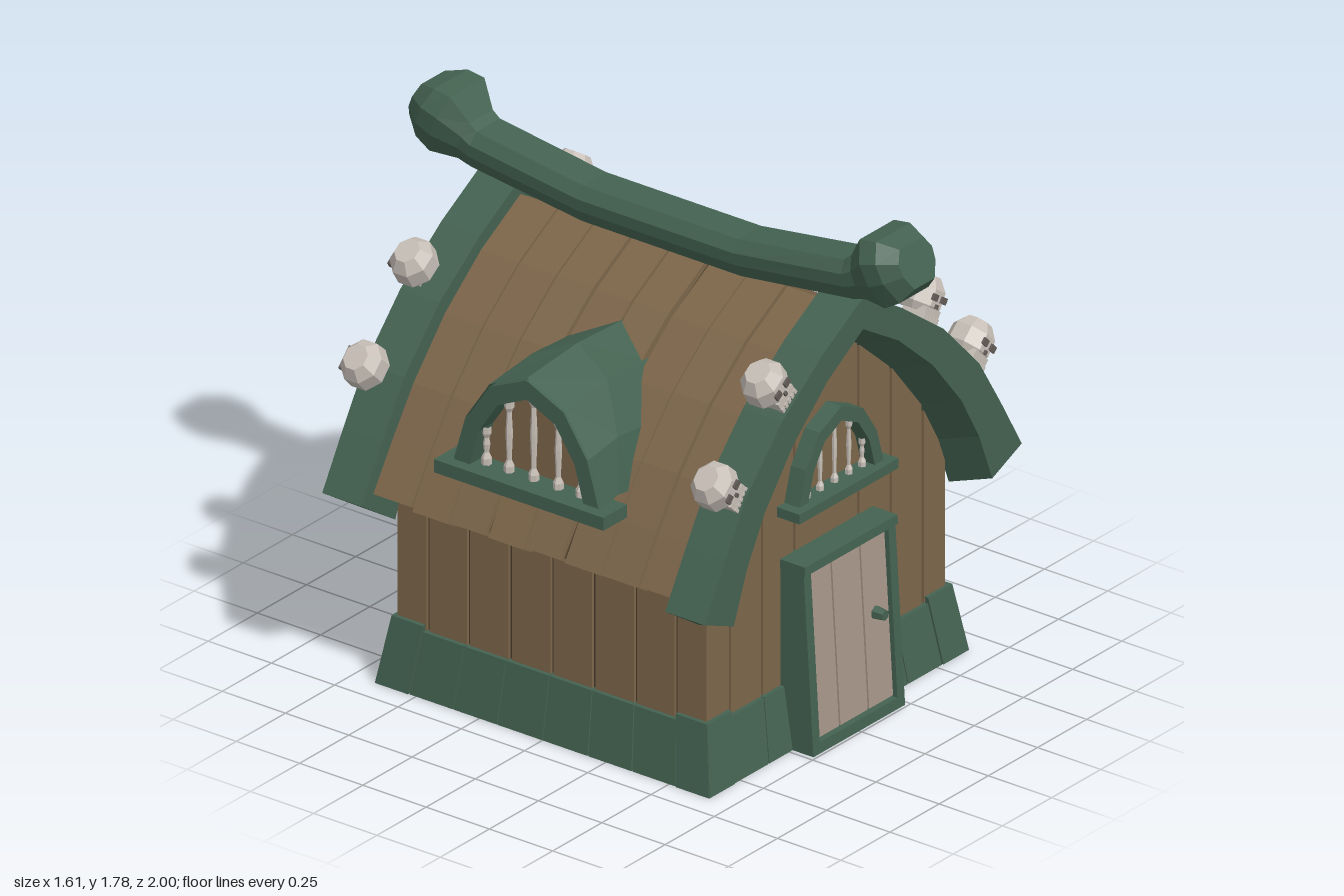
import * as THREE from 'three';

const mat = (name, color, side = THREE.FrontSide) => {
  const m = new THREE.MeshStandardMaterial({ color, side });
  m.name = name;
  return m;
};

// Flat-faced solid through a list of closed rings of [x, y, z] points, capped at both ends
function loft(rings) {
  const pos = [], n = rings[0].length;
  const tri = (a, b, c) => pos.push(...a, ...b, ...c);
  for (let i = 0; i + 1 < rings.length; i++)
    for (let j = 0; j < n; j++) {
      const a = rings[i][j], b = rings[i][(j + 1) % n], c = rings[i + 1][(j + 1) % n], d = rings[i + 1][j];
      tri(a, b, c); tri(a, c, d);
    }
  const first = rings[0], last = rings[rings.length - 1];
  for (let j = 1; j + 1 < n; j++) {
    tri(first[0], first[j + 1], first[j]);
    tri(last[0], last[j], last[j + 1]);
  }
  // turn the faces outward when the signed volume is negative
  let volume = 0;
  const a = new THREE.Vector3(), b = new THREE.Vector3(), c = new THREE.Vector3();
  for (let i = 0; i < pos.length; i += 9)
    volume += a.fromArray(pos, i).dot(b.fromArray(pos, i + 3).cross(c.fromArray(pos, i + 6)));
  if (volume < 0)
    for (let i = 0; i < pos.length; i += 9)
      for (let k = 0; k < 3; k++) [pos[i + 3 + k], pos[i + 6 + k]] = [pos[i + 6 + k], pos[i + 3 + k]];
  const g = new THREE.BufferGeometry();
  g.setAttribute('position', new THREE.Float32BufferAttribute(pos, 3));
  g.computeVertexNormals();
  return g;
}

// Box given by its limits, with an optional rule that moves each corner
function block(x0, x1, y0, y1, z0, z1, rule) {
  const g = new THREE.BoxGeometry(x1 - x0, y1 - y0, z1 - z0).toNonIndexed();
  g.translate((x0 + x1) / 2, (y0 + y1) / 2, (z0 + z1) / 2);
  if (rule) {
    const p = g.attributes.position, v = new THREE.Vector3();
    for (let i = 0; i < p.count; i++) {
      rule(v.fromBufferAttribute(p, i));
      p.setXYZ(i, v.x, v.y, v.z);
    }
    g.computeVertexNormals();
  }
  return g;
}

// Half profile from the peak outward, made into a full arch
const arch = half => [...half.slice(1).reverse().map(([x, y]) => [-x, y]), ...half];

const ROOF_OUT = [[0, 1.465], [0.2, 1.35], [0.385, 1.2], [0.545, 1.02], [0.655, 0.86], [0.75, 0.705]];
const ROOF_IN = [[0, 1.395], [0.17, 1.295], [0.345, 1.155], [0.5, 0.98], [0.61, 0.82], [0.7, 0.675]];
const BOARD_OUT = [[0, 1.515], [0.2, 1.4], [0.41, 1.245], [0.59, 1.055], [0.7, 0.875], [0.807, 0.69]];
const BOARD_IN = [[0, 1.405], [0.18, 1.295], [0.355, 1.14], [0.5, 0.96], [0.59, 0.8], [0.657, 0.627]];

// Linear lookup along a profile: from column a to column b
function lookup(profile, v, a, b) {
  for (let i = 0; i + 1 < profile.length; i++) {
    const p = profile[i], q = profile[i + 1], t = (v - p[a]) / (q[a] - p[a]);
    if (t >= 0 && t <= 1) return p[b] + t * (q[b] - p[b]);
  }
  return profile[profile.length - 1][b];
}

export function createModel() {
  const wood = mat('wood', 0x7c664a), seam = mat('dark seam', 0x4b3c2b);
  const green = mat('painted green', 0x446251), greenOpen = mat('painted green thin', 0x446251, THREE.DoubleSide);
  const pale = mat('pale door wood', 0xa69689), bone = mat('bone', 0xc6beb6), socket = mat('socket grey', 0x625c57);
  const house = new THREE.Group();
  house.name = 'house';
  const add = (name, geometry, material, parent = house) => {
    const m = new THREE.Mesh(geometry, material);
    m.name = name;
    parent.add(m);
    return m;
  };
  let seed = 7;
  const jitter = s => ((seed = (seed * 16807) % 2147483647) / 2147483647 - 0.5) * 2 * s;

  // Gable walls: upright planks cut to the underside of the roof
  const edges = [-0.61, -0.49, -0.327, -0.163, 0.163, 0.327, 0.49, 0.61];
  for (const side of [1, -1])
    for (let i = 0; i + 1 < edges.length; i++) {
      const x0 = edges[i] + (i ? 0.006 : 0), x1 = edges[i + 1] - 0.006;
      const s = new THREE.Shape().moveTo(x0, 0.04).lineTo(x1, 0.04);
      for (let k = 0; k <= 6; k++) {
        const x = x1 + (x0 - x1) * k / 6;
        s.lineTo(x, lookup(ROOF_IN, Math.abs(x), 0, 1) + 0.01);
      }
      const g = new THREE.ExtrudeGeometry(s, { depth: 0.04, bevelEnabled: false });
      g.translate(0, 0, side > 0 ? 0.57 : -0.61);
      add('gablePlank', g, wood);
      const e = edges[i];
      if (i) add('gableSeam', block(e - 0.008, e + 0.008, 0.04, lookup(ROOF_IN, Math.abs(e), 0, 1),
        side * 0.59 - 0.01, side * 0.59 + 0.01), seam);
    }

  // Side walls
  const sideEdges = [-0.6, -0.49, -0.33, -0.165, 0, 0.165, 0.33, 0.49, 0.6];
  for (const side of [1, -1])
    for (let i = 0; i + 1 < sideEdges.length; i++) {
      const c = side * 0.59, z = sideEdges[i];
      add('sidePlank', block(c - 0.02, c + 0.02, 0.04, 0.82, z + 0.006, sideEdges[i + 1] - 0.006), wood);
      if (i) add('sideSeam', block(c - 0.01, c + 0.01, 0.04, 0.82, z - 0.008, z + 0.008), seam);
    }

  // Flared plinth of short boards with taller corners, open behind the door
  const flare = v => { const k = 1 + 0.055 * (1 - v.y / 0.215); v.x *= k; v.z *= k; };
  const cuts = [-0.625, -0.5, -0.335, -0.17, 0, 0.17, 0.335, 0.5, 0.625];
  for (let turn = 0; turn < 4; turn++)
    for (let i = 0; i < 8; i++) {
      if (turn === 0 && (i === 3 || i === 4)) continue;
      const corner = i === 0 || i === 7;
      const g = block(cuts[i] + (i ? 0.002 : 0), cuts[i + 1] - (i < 7 ? 0.002 : 0), 0, corner ? 0.232 : 0.212,
        0.585, corner ? 0.627 : 0.624, flare);
      g.rotateY(turn * Math.PI / 2);
      add('plinthBoard', g, green);
    }

  // Roof planks bent over the ridge, with uneven ends and dark seams
  const band = (z0, z1, lift, drop, sink) => {
    const o = arch(ROOF_OUT), n = arch(ROOF_IN);
    return loft(o.map(([x, y], i) => {
      const end = i === 0 || i === o.length - 1 ? drop : 0;
      const ox = x * (1 + lift) - Math.sign(x) * sink, oy = y + lift - sink - end;
      const [ix, iy] = n[i];
      return [[ox, oy, z0], [ox, oy, z1], [ix, iy - end, z1], [ix, iy - end, z0]];
    }));
  };
  for (let i = 0; i < 8; i++) {
    const z = -0.6 + i * 0.15;
    add('roofPlank', band(z + 0.004 + jitter(0.003), z + 0.146 + jitter(0.003), jitter(0.006), jitter(0.014), 0), wood);
    if (i) add('roofSeam', band(z - 0.01, z + 0.01, 0, -0.02, 0.018), seam);
  }

  // Curved boards at both gables, deeper on the wall side
  for (const side of [1, -1]) {
    const o = arch(BOARD_OUT), n = arch(BOARD_IN);
    add('gableBoard', loft(o.map(([x, y], i) => {
      const [ix, iy] = n[i];
      return [[x, y, side * 0.755], [x, y, side * 0.6],
        [ix - Math.sign(ix) * 0.022, iy - 0.05, side * 0.6], [ix, iy, side * 0.755]];
    })), green);
  }

  // Sagging ridge beam with a knob at each end: z, y, half width, half height, tilt
  const beam = [[0.31, 1.54, 0.085, 0.065, 0.06], [0.74, 1.597, 0.085, 0.068, 0.2], [0.78, 1.615, 0.085, 0.075, 0.35],
    [0.855, 1.66, 0.125, 0.118, 0.4], [0.915, 1.682, 0.123, 0.105, 0.4], [0.972, 1.7, 0.085, 0.068, 0.4]];
  const section = [[-0.7, 1], [0.7, 1], [1, 0.4], [0.95, -0.25], [0.6, -1], [-0.6, -1], [-0.95, -0.25], [-1, 0.4]];
  const path = [...[...beam].reverse().map(([z, y, w, h, t]) => [-z, y, w, h, -t]), ...beam];
  add('ridgeBeam', loft(path.map(([z, y, w, h, t]) =>
    section.map(([u, v]) => [u * w, y + v * h * Math.cos(t), z - v * h * Math.sin(t)]))), green);

  // Door with its leaning frame
  const door = new THREE.Group();
  door.name = 'door';
  house.add(door);
  const lean = v => { if (v.z > 0.65) v.z += 0.04 * (1 - v.y / 0.65); };
  for (const s of [-1, 1])
    add('doorPost', block(s * 0.215 - 0.018, s * 0.215 + 0.018, 0, 0.63, 0.54, 0.7, lean), green, door);
  add('doorLintel', block(-0.236, 0.236, 0.62, 0.652, 0.54, 0.708, lean), green, door);
  add('doorSill', block(-0.215, 0.215, 0, 0.038, 0.54, 0.7, lean), green, door);
  add('doorBacking', block(-0.2, 0.2, 0.03, 0.625, 0.62, 0.665, lean), seam, door);
  for (const [x0, x1] of [[-0.197, -0.078], [-0.07, 0.068], [0.076, 0.197]])
    add('doorPlank', block(x0, x1, 0.042, 0.617, 0.63, 0.683, lean), pale, door);
  const knob = new THREE.CylinderGeometry(0.018, 0.024, 0.04, 6).toNonIndexed();
  knob.computeVertexNormals();
  knob.rotateX(Math.PI / 2).translate(0.133, 0.35, 0.72);
  add('doorKnob', knob, green, door);

  // Arched window with a sill and five turned bars, standing on its own y = 0
  const WIN_OUT = [[0, 0.275], [0.11, 0.225], [0.18, 0.12], [0.215, 0]];
  const WIN_IN = [[0, 0.225], [0.085, 0.185], [0.142, 0.1], [0.17, 0]];
  const makeWindow = name => {
    const w = new THREE.Group(), o = arch(WIN_OUT), n = arch(WIN_IN);
    w.name = name;
    add('windowFrame', loft(o.map(([x, y], i) =>
      [[x, y, 0], [x, y, 0.06], [n[i][0], n[i][1], 0.06], [n[i][0], n[i][1], 0]])), green, w);
    add('windowSill', block(-0.252, 0.252, -0.03, 0.004, 0, 0.09), green, w);
    add('windowPanel', new THREE.ShapeGeometry(new THREE.Shape(o.map(p => new THREE.Vector2(...p)))).translate(0, 0, 0.004), wood, w);
    for (const x of [-0.14, -0.073, 0, 0.073, 0.14]) {
      const h = lookup(WIN_IN, Math.abs(x), 0, 1);
      const profile = [[0.013, 0], [0.013, 0.02], [0.006, 0.035], [0.009, h * 0.55], [0.006, h - 0.03], [0.012, h - 0.018], [0.012, h]];
      const g = new THREE.LatheGeometry(profile.map(p => new THREE.Vector2(...p)), 6).toNonIndexed();
      g.computeVertexNormals();
      add('windowBar', g.translate(x, 0, 0.032), bone, w);
    }
    house.add(w);
    return w;
  };
  makeWindow('frontWindow').position.set(0, 0.836, 0.61);

  // Dormer on the right slope: large window and a hood running back into the roof
  const dormer = makeWindow('dormerWindow');
  dormer.position.set(-0.66, 0.92, 0);
  dormer.rotation.y = -Math.PI / 2;
  dormer.scale.setScalar(1.33);
  const hood = [], rim = arch(WIN_OUT).map(([x, y]) => {
    const z = x * 1.36, h = 0.92 + y * 1.36;
    const back = -lookup(ROOF_OUT, h + 0.015, 1, 0) + 0.03;
    return [[-0.735, h, z], [(back - 0.735) / 2, h + 0.022, z], [back, h + 0.01, z]];
  });
  for (let i = 0; i + 1 < rim.length; i++)
    for (let k = 0; k < 2; k++) {
      const a = rim[i][k], b = rim[i + 1][k], c = rim[i + 1][k + 1], d = rim[i][k + 1];
      hood.push(...a, ...b, ...c, ...a, ...c, ...d);
    }
  const hoodGeometry = new THREE.BufferGeometry();
  hoodGeometry.setAttribute('position', new THREE.Float32BufferAttribute(hood, 3));
  hoodGeometry.computeVertexNormals();
  add('dormerHood', hoodGeometry, greenOpen);

  // Small skulls set along the gable boards
  const cranium = loft([[-0.04, 0.058], [-0.015, 0.078], [0.04, 0.076], [0.078, 0.045]].map(([y, r]) =>
    Array.from({ length: 8 }, (_, i) => {
      const a = (i + 0.5) * Math.PI / 4;
      return [Math.sin(a) * r, y, Math.cos(a) * r * 0.95];
    })));
  for (const side of [1, -1])
    for (const [x, y, tilt] of [[0.39, 1.338, 0.6], [0.64, 1.08, 0.8]])
      for (const s of [1, -1]) {
        const skull = new THREE.Group();
        skull.name = 'skull';
        add('cranium', cranium, bone, skull);
        add('jaw', block(-0.042, 0.042, -0.06, -0.02, -0.02, 0.066), bone, skull);
        for (const e of [-1, 1])
          add('eyeSocket', block(e * 0.026 - 0.014, e * 0.026 + 0.014, 0.004, 0.026, 0.068, 0.076), socket, skull);
        add('nose', block(-0.006, 0.006, -0.018, -0.004, 0.068, 0.076), socket, skull);
        for (let t = -2; t <= 2; t++)
          add('tooth', block(t * 0.018 - 0.006, t * 0.018 + 0.006, -0.08, -0.045, 0.05, 0.07), bone, skull);
        skull.position.set(s * x, y, side > 0 ? 0.675 : -0.71);
        skull.rotation.set(0, side > 0 ? 0 : Math.PI, -s * side * tilt);
        house.add(skull);
      }

  return house;
}
